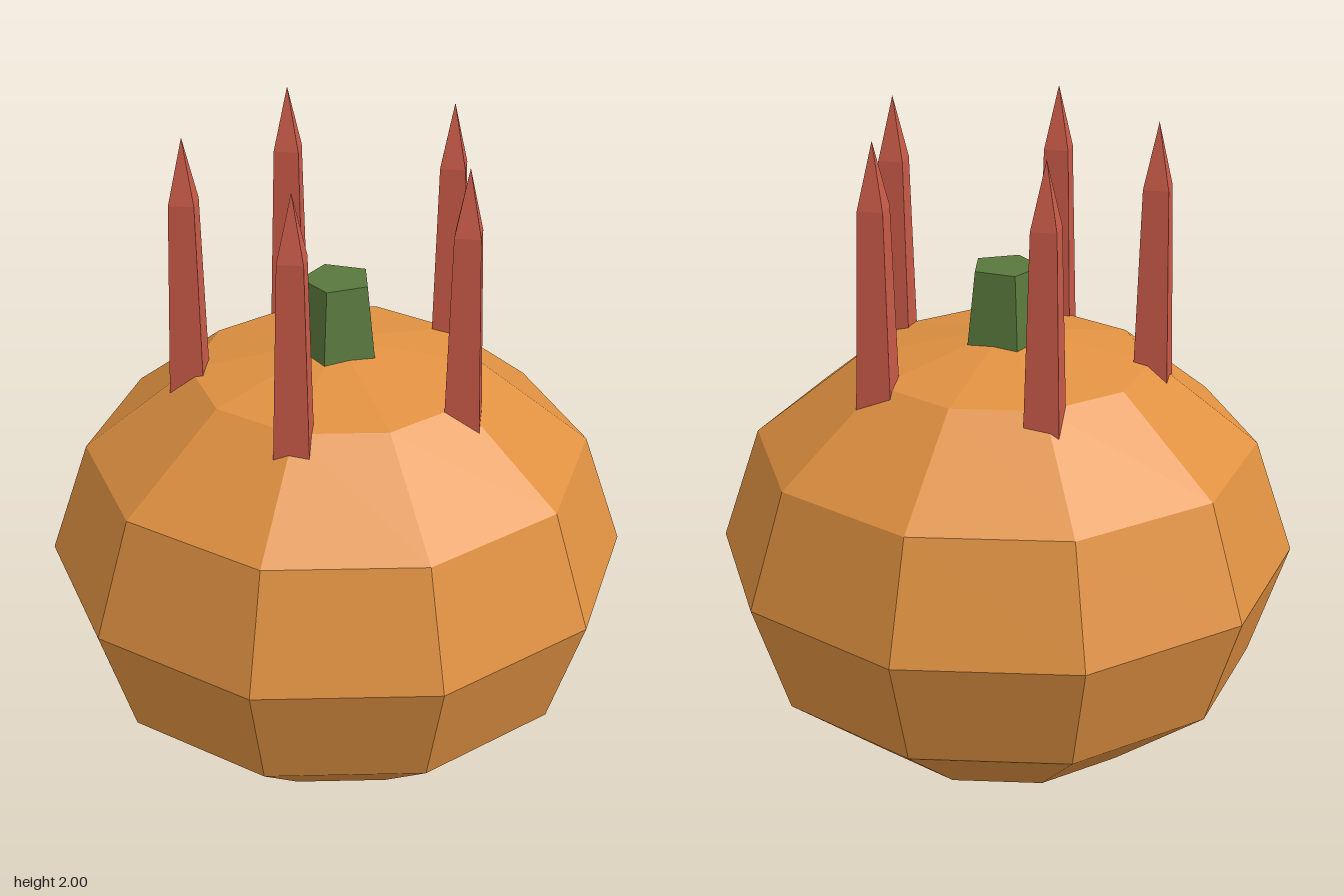
import * as THREE from 'three';

const flat = (name, color) => {
  const m = new THREE.MeshStandardMaterial({ color, flatShading: true });
  m.name = name;
  return m;
};

export function createModel() {
  const orange = flat('orange rind', 0xe09141);
  const green = flat('green stem', 0x5a783d);
  const red = flat('red candle', 0xc85a48);

  const model = new THREE.Group();
  const add = (parent, name, geometry, material, y) => {
    const mesh = new THREE.Mesh(geometry, material);
    mesh.name = name;
    mesh.position.y = y;
    parent.add(mesh);
    return mesh;
  };

  // Squashed ten-sided gourd
  const body = new THREE.SphereGeometry(0.86, 10, 6).scale(1, 0.69 / 0.86, 1);
  add(model, 'body', body, orange, 0.69);

  // Five-sided stem with one corner towards +x
  const stem = new THREE.CylinderGeometry(0.105, 0.134, 0.24, 5).rotateY(Math.PI / 2);
  add(model, 'stem', stem, green, 1.45);

  // Ring of five square spikes, all with corners on the x and z axes
  const shaft = new THREE.CylinderGeometry(0.052, 0.073, 0.63, 4);
  const tip = new THREE.ConeGeometry(0.052, 0.19, 4, 1, true);
  for (let i = 0; i < 5; i++) {
    const a = (i / 5) * Math.PI * 2;
    const spike = new THREE.Group();
    spike.name = 'spike' + (i + 1);
    spike.position.set(0.43 * Math.cos(a), 0, 0.43 * Math.sin(a));
    add(spike, 'spikeShaft', shaft, red, 1.495);
    add(spike, 'spikeTip', tip, red, 1.905);
    model.add(spike);
  }
  return model;
}
